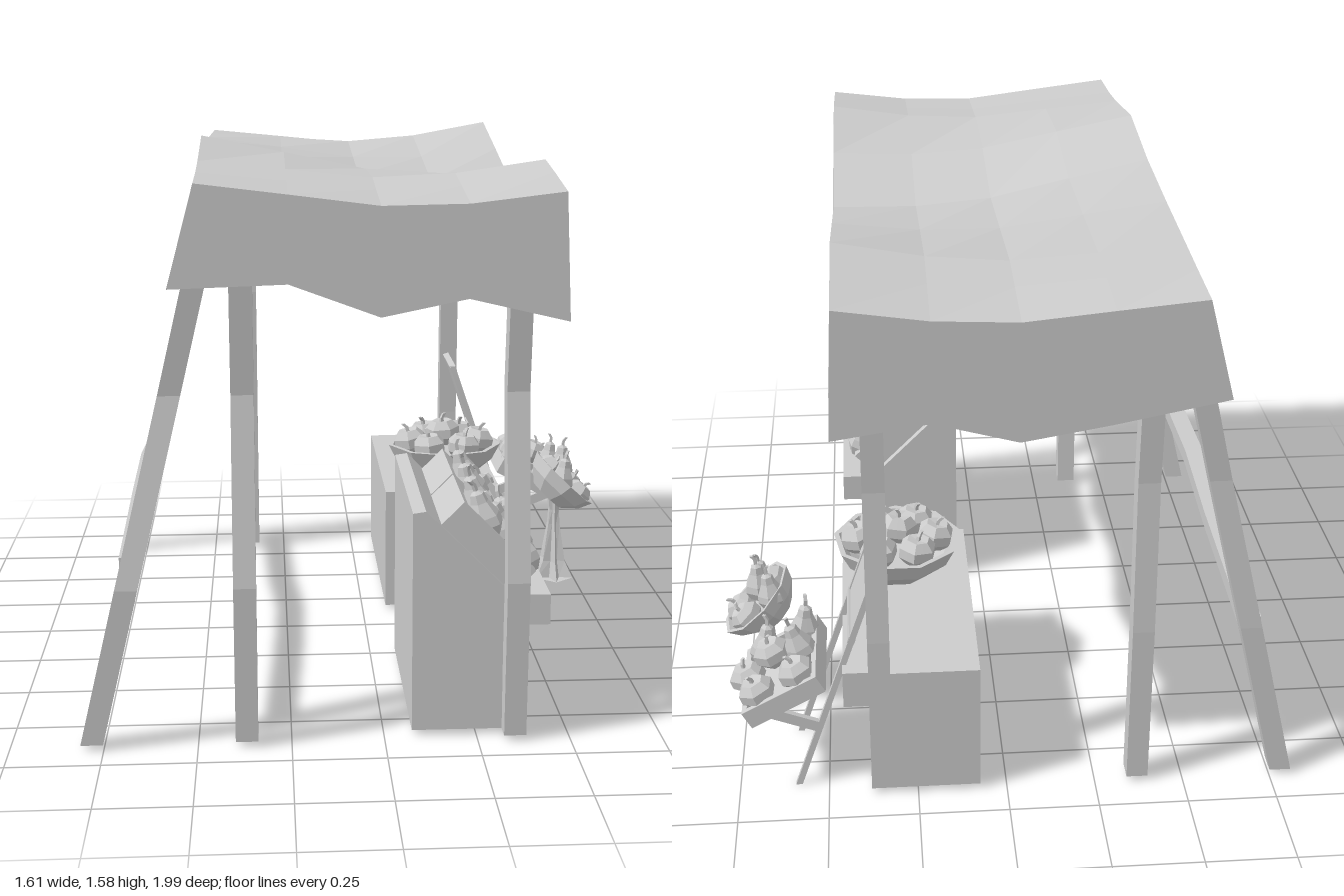
import * as THREE from 'three';

const mat = new THREE.MeshStandardMaterial({ color: 0xcccccc, flatShading: true });
const sheetMat = new THREE.MeshStandardMaterial({ color: 0xcccccc, flatShading: true, side: THREE.DoubleSide });
const V = (x, y, z) => new THREE.Vector3(x, y, z);

function add(parent, name, geometry, material = mat) {
  const m = new THREE.Mesh(geometry, material);
  m.name = name;
  parent.add(m);
  return m;
}

function box(parent, name, w, h, d, x, y, z) {
  const m = add(parent, name, new THREE.BoxGeometry(w, h, d));
  m.position.set(x, y, z);
  return m;
}

// Skin a row of cross-sections; closed rings run counter-clockwise about the travel direction
function loft(rings, { closed = true, caps = true } = {}) {
  const n = rings[0].length, pos = [], idx = [];
  rings.forEach(r => r.forEach(p => pos.push(p.x, p.y, p.z)));
  for (let j = 0; j < rings.length - 1; j++)
    for (let i = 0; i < (closed ? n : n - 1); i++) {
      const a = j * n + i, b = j * n + (i + 1) % n;
      idx.push(a, b, b + n, a, b + n, a + n);
    }
  if (caps) {
    const e = (rings.length - 1) * n;
    for (let i = 1; i < n - 1; i++) idx.push(0, i + 1, i, e, e + i, e + i + 1);
  }
  const g = new THREE.BufferGeometry();
  g.setAttribute('position', new THREE.Float32BufferAttribute(pos, 3));
  g.setIndex(idx);
  const flat = g.toNonIndexed();
  flat.computeVertexNormals();
  return flat;
}

// Rectangular timber along a bent path; a x b points along the path
function timber(parent, name, path, a, b) {
  const rings = path.map(p => [[1, 1], [-1, 1], [-1, -1], [1, -1]].map(([s, t]) =>
    V(...p).addScaledVector(a, s).addScaledVector(b, t)));
  return add(parent, name, loft(rings));
}

// Canopy: sagging cloth roof with a wavy hanging skirt
const zs = [-0.99, -0.8, -0.65, -0.33, 0, 0.33, 0.65, 0.8, 1];
const xs = [-0.48, -0.25, -0.02, 0.2, 0.44];
const topL = [1.51, 1.515, 1.52, 1.53, 1.545, 1.58, 1.535, 1.52, 1.51];
const topR = [1.51, 1.535, 1.555, 1.49, 1.42, 1.48, 1.535, 1.515, 1.485];
const sag = [0, 0.022, 0.045, 0.035, 0];
const hemL = [1.24, 1.25, 1.2, 1.17, 1.155, 1.18, 1.2, 1.25, 1.25];
const hemR = [1.16, 1.24, 1.2, 1.135, 1.18, 1.135, 1.2, 1.24, 1.16];
const hemFront = [1.25, 1.26, 1.175, 1.22, 1.16];
const hemBack = [1.24, 1.18, 1.14, 1.2, 1.16];

function canopy(parent) {
  const g = new THREE.Group();
  g.name = 'canopy';
  parent.add(g);
  const roofPoint = (i, j) => V(xs[i], THREE.MathUtils.lerp(topL[j], topR[j], (xs[i] + 0.48) / 0.92) - sag[i], zs[j]);
  const rows = zs.map((_, j) => xs.map((_, i) => roofPoint(i, j)).reverse());
  add(g, 'roofCloth', loft(rows, { closed: false, caps: false }), sheetMat);

  // Walk round the edge, pairing each roof point with its hem height
  const edge = [], J = zs.length - 1, I = xs.length - 1;
  for (let j = J; j >= 0; j--) edge.push([I, j, hemR[j]]);
  for (let i = I - 1; i > 0; i--) edge.push([i, 0, hemBack[i]]);
  for (let j = 0; j <= J; j++) edge.push([0, j, hemL[j]]);
  for (let i = 1; i < I; i++) edge.push([i, J, hemFront[i]]);
  const ring = (t, inset) => edge.map(([i, j, hem]) => {
    const p = roofPoint(i, j);
    p.y += (hem - p.y) * t;
    if (i === 0) p.x += -0.07 * t + inset;
    if (i === I) p.x += 0.015 * t - inset;
    if (j === 0) p.z += inset;
    if (j === J) p.z -= inset;
    return p;
  });
  add(g, 'skirt', loft([ring(0.1, 0.02), ring(0.97, 0.02), ring(1, 0), ring(0.5, 0), ring(0, 0)], { caps: false }), sheetMat);
}

function frame(parent) {
  const a = V(0, 0, 0.03), b = V(0.03, 0, 0);
  for (const end of [1, -1]) {
    const bend = end > 0
      ? [[0.015, 0.88], [0.45, 0.9], [0.95, 0.825], [1.28, 0.865]]
      : [[0.015, -0.87], [0.5, -0.87], [0.95, -0.85], [1.28, -0.87]];
    timber(parent, 'frontPost', bend.map(([y, z]) => [0.35, y, z]), a, b);
    timber(parent, 'rearPost', bend.map(([y, z]) => [-0.37, y, z]), a, b);
    timber(parent, 'splayedLeg', bend.map(([y, z]) => [-0.785 + y * 0.238, y, z]), a, b);
    timber(parent, 'endRail', [-0.48, -0.2, 0.1, 0.4].map((x, i) => [x, [1.31, 1.34, 1.3, 1.27][i], 0.87 * end]), V(0, 0.025, 0), V(0, 0, 0.025));
  }
  const along = [-0.87, -0.33, 0, 0.35, 0.87];
  timber(parent, 'rearStretcher', along.map((z, i) => [-0.67, [0.495, 0.52, 0.555, 0.54, 0.5][i], z]), V(0.028, 0, 0), V(0, 0.022, 0));
  for (const x of [-0.45, 0.37])
    timber(parent, 'sideRail', along.map((z, i) => [x, [1.3, 1.31, 1.28, 1.33, 1.3][i], z]), V(0.025, 0, 0), V(0, 0.025, 0));
}

// Ribbed fruit turned from a profile, every second seam pulled in
function fruit(parent, name, profile, pos, tilt, size = 1, turn = 0) {
  const seg = 12, geo = new THREE.LatheGeometry(profile.map(p => new THREE.Vector2(...p)), seg);
  const p = geo.attributes.position, n = profile.length;
  for (let i = 0; i < p.count; i++) {
    const k = Math.floor(i / n) % 2 ? 0.87 : 1;
    p.setX(i, p.getX(i) * k);
    p.setZ(i, p.getZ(i) * k);
  }
  const g = new THREE.Group();
  g.name = name;
  add(g, 'flesh', geo);
  const h = profile[n - 1][1], stem = [[0, -0.008], [0.002, 0.014], [0.012, 0.028]];
  timber(g, 'stem', stem.map(([x, y]) => [x, h + y, 0]), V(0, 0, 0.005), V(0.005, 0, 0));
  g.position.set(...pos);
  g.rotation.set(0, turn, tilt, 'ZYX');
  g.scale.setScalar(size);
  parent.add(g);
}
const gourdShape = [[0, 0], [0.035, 0.004], [0.05, 0.035], [0.046, 0.06], [0.026, 0.1], [0.02, 0.125], [0, 0.138]];
const pumpkinShape = [[0, 0.006], [0.032, 0], [0.056, 0.026], [0.056, 0.056], [0.034, 0.08], [0, 0.074]];
const gourd = (parent, pos, tilt, size, turn) => fruit(parent, 'gourd', gourdShape, pos, tilt, size, turn);
const pumpkin = (parent, pos, tilt, size, turn) => fruit(parent, 'pumpkin', pumpkinShape, pos, tilt, size, turn);

// Open tray, origin at the middle of its base, sloping down toward +x
function crate(parent, x, y, z, angle, length, depth, width) {
  const g = new THREE.Group(), t = 0.016;
  g.name = 'crate';
  box(g, 'crateBase', length, t, width, 0, t / 2, 0);
  for (const s of [1, -1]) {
    box(g, 'crateSide', length, depth, t, 0, depth / 2, s * (width - t) / 2);
    box(g, 'crateEnd', t, depth, width - 2 * t, s * (length - t) / 2, depth / 2, 0);
  }
  g.position.set(x, y, z);
  g.rotation.z = -angle;
  parent.add(g);
  return g;
}

function bowl(parent, radius, depth) {
  const pts = [[0, 0], [0.5, 0], [0.85, 0.5], [1, 1], [0.92, 1], [0.78, 0.55], [0.45, 0.15], [0, 0.15]];
  return add(parent, 'bowl', new THREE.LatheGeometry(pts.map(([r, y]) => new THREE.Vector2(r * radius, y * depth)), 9), sheetMat);
}

function counters(parent) {
  // Sloped display counter with two tilted crates of gourds
  const side = new THREE.Shape([[0.075, 0.015], [0.38, 0.015], [0.38, 0.36], [0.11, 0.63], [0.075, 0.625]].map(p => new THREE.Vector2(...p)));
  add(parent, 'displayCounter', new THREE.ExtrudeGeometry(side, { depth: 0.615, bevelEnabled: false })).position.z = 0.245;
  box(parent, 'counterLedge', 0.07, 0.085, 0.59, 0.415, 0.345, 0.545);
  [0.7, 0.41].forEach((z, k) => {
    crate(parent, 0.2475, 0.4875, z, Math.PI / 4, 0.276, 0.09, 0.28);
    [[0.395, 0.43, 0.07], [0.395, 0.43, -0.075], [0.345, 0.48, 0], [0.29, 0.535, 0.08], [0.29, 0.535, -0.07]].forEach(([x, y, dz], i) =>
      gourd(parent, [x, y, z + dz], 0.3, 1, i * 1.3 + k));
  });
  // Low counter with a bowl of pumpkins
  box(parent, 'lowCounter', 0.305, 0.385, 0.76, 0.2275, 0.2075, -0.52);
  box(parent, 'counterLedge', 0.07, 0.11, 0.74, 0.415, 0.345, -0.52);
  bowl(parent, 0.19, 0.11).position.set(0.285, 0.4, -0.36);
  for (let i = 0; i < 6; i++) {
    const a = i * Math.PI / 3;
    pumpkin(parent, [0.285 + 0.105 * Math.cos(a), 0.475, -0.36 + 0.105 * Math.sin(a)], -0.2 * Math.cos(a), 1, i);
  }
  pumpkin(parent, [0.285, 0.505, -0.36], 0.1, 1, 0.4);
}

function easel(parent) {
  // Leaning board with a tilted crate held out on struts
  const legX = y => 0.585 - 0.342 * y;
  for (const z of [-0.592, -0.84]) {
    timber(parent, 'easelLeg', [[legX(0), 0, z], [legX(0.72), 0.72, z]], V(0, 0, 0.008), V(0.009, 0, 0));
    timber(parent, 'crateStrut', [[0.52, 0.195, z], [0.69, 0.262, z]], V(0, 0.017, 0), V(0, 0, 0.008));
  }
  box(parent, 'board', 0.01, 0.26, 0.25, legX(0.595), 0.595, -0.716).rotation.z = 0.33;
  for (const y of [0.475, 0.71])
    box(parent, 'boardRail', 0.02, 0.018, 0.26, legX(y), y, -0.716).rotation.z = 0.33;
  crate(parent, 0.6, 0.285, -0.73, 0.5, 0.235, 0.055, 0.31);
  const spots = [[0.55, -0.83], [0.66, -0.83], [0.54, -0.73], [0.62, -0.735], [0.69, -0.735], [0.55, -0.635], [0.66, -0.635]];
  spots.forEach(([x, z], i) => {
    const pos = [x + 0.015, 0.31 - (x - 0.6) * 0.54 + (i === 3 ? 0.04 : 0), z];
    (i > 4 || i === 2 ? gourd : pumpkin)(parent, pos, i > 4 ? 0.1 : -0.35, 0.92, i);
  });
}

function bowlStand(parent) {
  // Fluted bundle tied at the neck, carrying a tilted bowl
  const n = 12;
  const rings = [[0.015, 0.095, 0.045], [0.07, 0.058, 0.03], [0.2, 0.03, 0.018], [0.25, 0.025, 0.018], [0.31, 0.035, 0.025]].map(([y, r1, r2]) =>
    Array.from({ length: n }, (_, i) => {
      const a = i / n * Math.PI * 2, r = i % 2 ? r2 : r1;
      return V(0.675 + 0.75 * r * Math.sin(a), y, -0.425 + r * Math.cos(a));
    }));
  add(parent, 'bowlStand', loft(rings));
  const g = new THREE.Group();
  g.name = 'tiltedBowl';
  g.position.set(0.65, 0.3, -0.425);
  g.rotation.z = -0.76;
  parent.add(g);
  bowl(g, 0.132, 0.085);
  for (let i = 0; i < 5; i++) {
    const a = i * Math.PI * 0.4 + 0.3;
    (i % 2 ? gourd : pumpkin)(g, [0.068 * Math.cos(a), 0.045, 0.068 * Math.sin(a)], i % 2 ? 0.6 : 0, 0.85, i);
  }
  gourd(g, [-0.01, 0.075, 0], 0.7, 0.85, 0);
}

export function createModel() {
  const model = new THREE.Group();
  model.name = 'marketStall';
  canopy(model);
  frame(model);
  counters(model);
  easel(model);
  bowlStand(model);
  return model;
}
